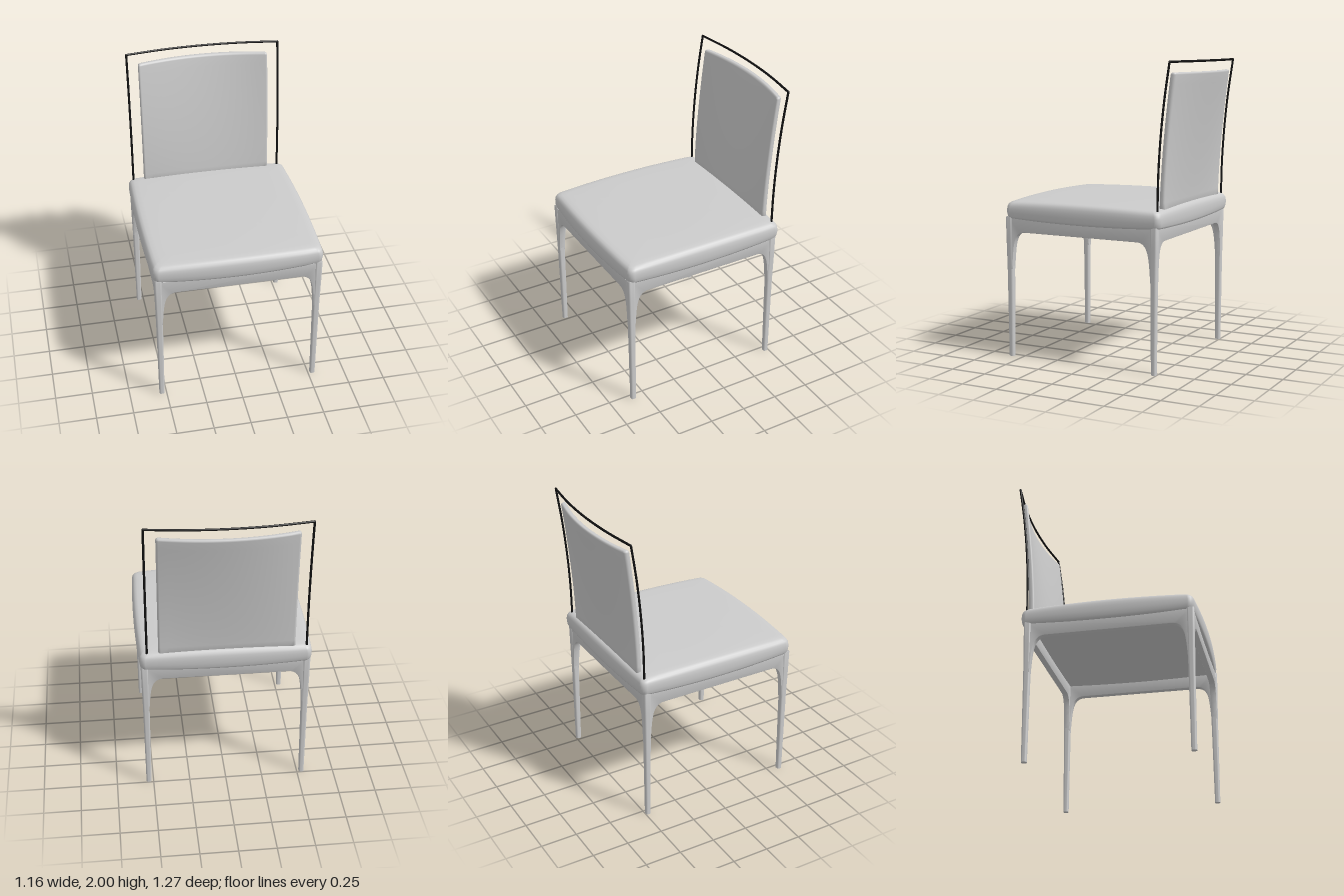
import * as THREE from 'three';
import { toCreasedNormals } from 'three/addons/utils/BufferGeometryUtils.js';

const grey = new THREE.MeshStandardMaterial({ color: 0xcccccc });
const black = new THREE.MeshStandardMaterial({ color: 0x111111 });

function add(parent, name, geometry, material = grey) {
  const mesh = new THREE.Mesh(geometry, material);
  mesh.name = name;
  parent.add(mesh);
  return mesh;
}

// Rounded rectangle as [x, z] points, running from +x towards +z
function roundRect(hx, hz, r, sideSteps = 1, arcSteps = 5) {
  const corners = [[1, 1], [-1, 1], [-1, -1], [1, -1]].map(([sx, sz], k) =>
    Array.from({ length: arcSteps + 1 }, (_, i) => {
      const a = (k + i / arcSteps) * Math.PI / 2;
      return [sx * (hx - r) + r * Math.cos(a), sz * (hz - r) + r * Math.sin(a)];
    }));
  const points = [];
  corners.forEach((arc, k) => {
    points.push(...arc);
    const from = arc[arcSteps], to = corners[(k + 1) % 4][0];
    for (let i = 1; i < sideSteps; i++) {
      const t = i / sideSteps;
      points.push([from[0] + (to[0] - from[0]) * t, from[1] + (to[1] - from[1]) * t]);
    }
  });
  return points;
}

// Skin over closed rings of [x, y, z] points, stacked upwards
function loft(rings) {
  const n = rings[0].length, index = [];
  for (let i = 0; i < rings.length - 1; i++) {
    for (let j = 0; j < n; j++) {
      const a = i * n + j, b = i * n + (j + 1) % n;
      index.push(a, a + n, b, b, a + n, b + n);
    }
  }
  const geometry = new THREE.BufferGeometry();
  geometry.setAttribute('position', new THREE.Float32BufferAttribute(rings.flat(2), 3));
  geometry.setIndex(index);
  geometry.computeVertexNormals();
  return geometry;
}

// Cushion with bowed sides and a slightly domed top: levels are [scale, y]
function seatGeometry() {
  const hx = 0.563, hz = 0.567, midY = 1.005;
  const plan = roundRect(hx, hz, 0.035, 14);
  const levels = [[0, 0.932], [0.5, 0.932], [0.96, 0.932], [0.96, 0.932], [0.982, 0.936], [0.993, 0.95],
    [1, 0.98], [1, 1.01], [0.995, 1.033], [0.984, 1.05], [0.965, 1.062], [0.935, 1.069],
    [0.88, 1.072], [0.7, 1.075], [0.4, 1.076], [0, 1.076]];
  return loft(levels.map(([s, y]) => plan.map(([px, pz]) => {
    const u = px / hx, v = pz / hz;
    const x = px + 0.016 * u * (1 - v * v);
    const z = pz + (v > 0 ? 0.025 : 0.013) * v * (1 - u * u);
    const bulge = 1 - (u * v * s * s) ** 2;
    return [x * s, midY + (y - midY) * (0.8 + 0.2 * bulge), z * s + 0.04];
  })));
}

// Thin back pad: leans back and curves more towards the top
function backGeometry() {
  const hx = 0.4475, half = 0.0185, bottom = 1.04, top = 1.925;
  const plan = roundRect(hx, half, 0.014, 16);
  const levels = [[bottom, 0.03, 0]];
  for (let i = 0; i <= 14; i++) levels.push([bottom + (top - 0.014 - bottom) * i / 14, 0, 1]);
  levels.push([top - 0.006, 0.003, 0.9], [top - 0.001, 0.008, 0.6], [top, 0.012, 0.35], [top, 0.02, 0]);
  return loft(levels.map(([y, inset, thick]) => plan.map(([px, pz]) => {
    const t = (y - bottom) / (top - bottom), u = px / hx;
    const lean = 0.468 + half + 0.072 * t ** 1.6 + 0.06 * t * (1 - u * u);
    return [px * (1 - inset / hx) - 0.007, y, pz * thick - lean];
  })));
}

// Tapered leg: rows are [y, half width, corner radius, outward shift, scale]
function legGeometry(sx, sz, x, z) {
  const rows = [[0, 0.0175, 0.012, 0, 0], [0, 0.0175, 0.012, 0, 1], [0, 0.0175, 0.012, 0, 1],
    [0.3, 0.0195, 0.012, 0, 1], [0.6, 0.0215, 0.012, 0, 1], [0.8, 0.023, 0.012, 0.002, 1],
    [0.955, 0.024, 0.012, 0.003, 1], [0.955, 0.024, 0.012, 0.003, 0]];
  return loft(rows.map(([y, h, r, out, s]) => roundRect(h, h, r).map(([px, pz]) =>
    [px * s + x + sx * out, y, pz * s + z + sz * out])));
}

// Apron rail with a curved bracket sweeping down into the leg at each end
function railGeometry(L) {
  const shape = new THREE.Shape();
  shape.moveTo(L, 0.95);
  shape.lineTo(-L, 0.95);
  shape.lineTo(-L, 0.6);
  shape.lineTo(-L + 0.02, 0.6);
  shape.bezierCurveTo(-L + 0.032, 0.77, -L + 0.035, 0.855, -L + 0.12, 0.855);
  shape.lineTo(L - 0.12, 0.855);
  shape.bezierCurveTo(L - 0.035, 0.855, L - 0.032, 0.77, L - 0.02, 0.6);
  shape.lineTo(L, 0.6);
  const bevel = 0.005, depth = 0.042;
  const geometry = new THREE.ExtrudeGeometry(shape, {
    depth: depth - 2 * bevel, curveSegments: 16, bevelThickness: bevel,
    bevelSize: bevel, bevelOffset: -bevel, bevelSegments: 2
  });
  geometry.translate(0, 0, -depth / 2 + bevel);
  return toCreasedNormals(geometry, 0.6);
}

function rod(points) {
  const curve = new THREE.CatmullRomCurve3(points.map(p => new THREE.Vector3(...p)));
  return new THREE.TubeGeometry(curve, 24, 0.0075, 8, false);
}

export function createModel() {
  const chair = new THREE.Group();
  chair.name = 'chair';
  add(chair, 'seatCushion', seatGeometry());
  add(chair, 'backPad', backGeometry());

  // Legs
  const legX = 0.531, frontZ = 0.585, backZ = -0.48;
  for (const sx of [1, -1]) {
    const side = sx > 0 ? 'Left' : 'Right';
    add(chair, 'front' + side + 'Leg', legGeometry(sx, 1, sx * legX, frontZ));
    add(chair, 'back' + side + 'Leg', legGeometry(sx, -1, sx * legX, backZ));
  }

  // Apron rails
  for (const [name, z] of [['frontRail', frontZ], ['backRail', backZ]]) {
    add(chair, name, railGeometry(legX)).position.z = z;
  }
  for (const [name, x] of [['leftRail', legX], ['rightRail', -legX]]) {
    const rail = add(chair, name, railGeometry((frontZ - backZ) / 2));
    rail.rotation.y = Math.PI / 2;
    rail.position.set(x, 0, (frontZ + backZ) / 2);
  }

  // Thin wire frame around the back
  const frame = new THREE.Group();
  frame.name = 'backFrame';
  chair.add(frame);
  const topY = 1.9925, topZ = -0.572, ends = { left: 0.515, right: -0.529 };
  for (const [side, x] of Object.entries(ends)) {
    add(frame, side + 'Upright', rod([[x, 1.03, -0.493], [x, 1.28, -0.498], [x, 1.52, -0.513],
      [x, 1.76, -0.538], [x, topY, topZ]]), black);
    add(frame, side + 'Joint', new THREE.SphereGeometry(0.0075, 10, 8), black).position.set(x, topY, topZ);
  }
  const arc = [-1, -0.5, 0, 0.5, 1].map(u => [u * 0.522 - 0.007, topY, topZ - 0.044 * (1 - u * u)]);
  add(frame, 'topRod', rod(arc), black);
  return chair;
}
